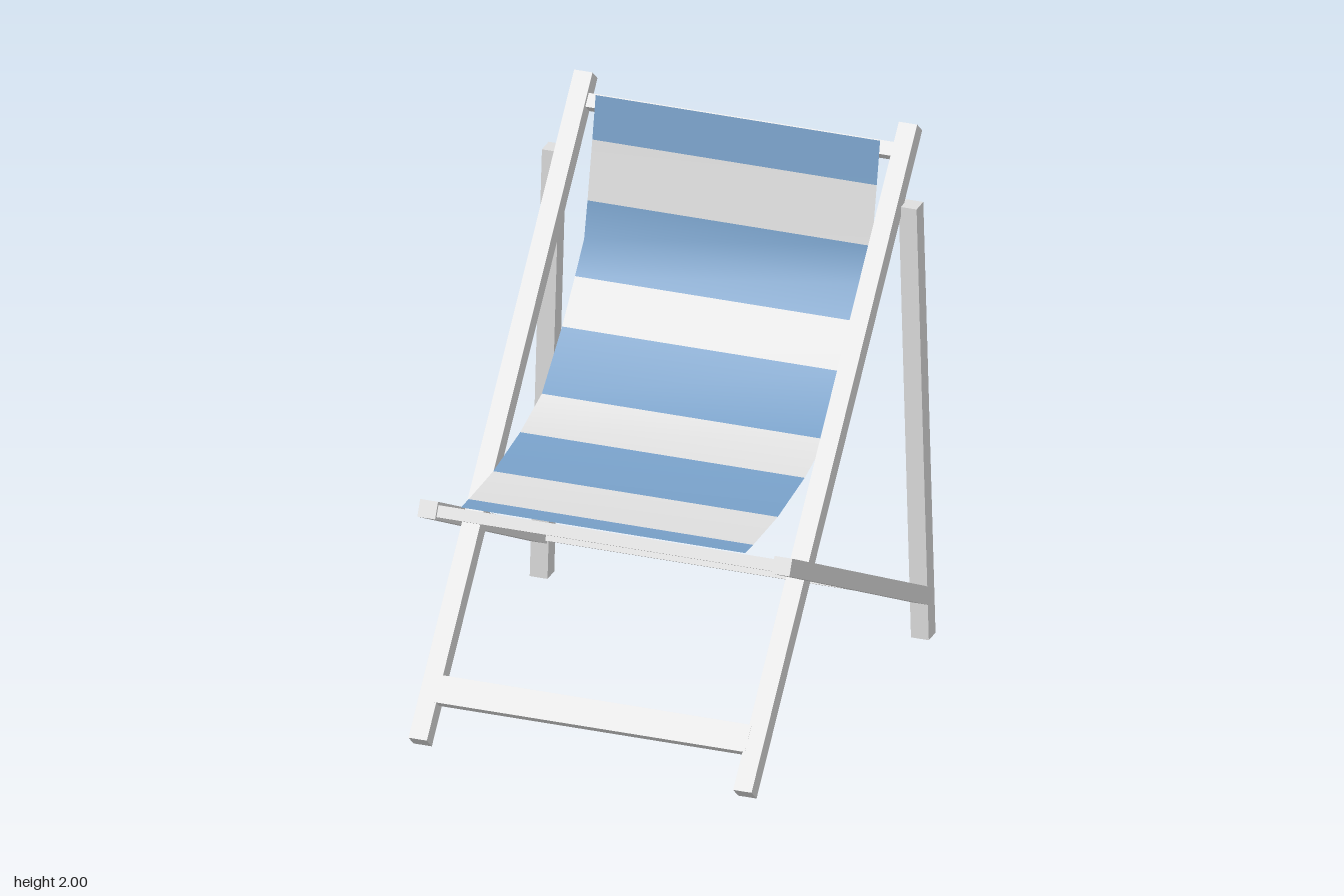
import * as THREE from 'three';

const wood = new THREE.MeshStandardMaterial({ name: 'pale wood', color: 0xdedede });
const white = new THREE.MeshStandardMaterial({ name: 'white cloth', color: 0xdedede, side: THREE.DoubleSide });
const blue = new THREE.MeshStandardMaterial({ name: 'blue cloth', color: 0x779fc7, side: THREE.DoubleSide });

// Square beam between two [x, y, z] points; tilted in the yz plane and sheared in x
function beam(name, a, b, width, depth) {
  const dy = b[1] - a[1], dz = b[2] - a[2], length = Math.hypot(dy, dz);
  const geometry = new THREE.BoxGeometry(width, depth, length);
  const p = geometry.attributes.position;
  for (let i = 0; i < p.count; i++) p.setX(i, p.getX(i) + (b[0] - a[0]) * p.getZ(i) / length);
  geometry.computeVertexNormals();
  const mesh = new THREE.Mesh(geometry, wood);
  mesh.name = name;
  mesh.position.set((a[0] + b[0]) / 2, (a[1] + b[1]) / 2, (a[2] + b[2]) / 2);
  mesh.rotation.x = Math.atan2(-dy, dz);
  return mesh;
}

// Bar running across the chair, tilted to match the beams that carry it
function crossbar(name, length, y, z, thickness, breadth, tilt) {
  const mesh = new THREE.Mesh(new THREE.BoxGeometry(length, thickness, breadth), wood);
  mesh.name = name;
  mesh.position.set(0, y, z);
  mesh.rotation.x = tilt;
  return mesh;
}

// Sagging striped sling; profile rows are [z, y, starts a new stripe]
function sling() {
  const profile = [
    [-0.755, 1.95, 1], [-0.72, 1.785, 1], [-0.67, 1.56, 1], [-0.635, 1.42, 0], [-0.54, 1.31, 1],
    [-0.405, 1.165, 1], [-0.195, 0.985, 1], [0.03, 0.928, 1], [0.31, 0.893, 1],
    [0.565, 0.892, 1], [0.65, 0.896, 0],
  ];
  const half = 0.558, positions = [], index = [];
  const geometry = new THREE.BufferGeometry();
  let stripe = -1;
  profile.forEach(([z, y, starts], i) => {
    positions.push(-half, y, z, half, y, z);
    if (i === profile.length - 1) return;
    if (starts) stripe++;
    const k = i * 2;
    geometry.addGroup(index.length, 6, stripe % 2);
    index.push(k, k + 2, k + 1, k + 1, k + 2, k + 3);
  });
  geometry.setAttribute('position', new THREE.Float32BufferAttribute(positions, 3));
  geometry.setIndex(index);
  geometry.computeVertexNormals();
  const mesh = new THREE.Mesh(geometry, [blue, white]);
  mesh.name = 'striped sling';
  return mesh;
}

export function createModel() {
  const chair = new THREE.Group();
  chair.name = 'deck chair';

  // Mirrored side frames
  for (const s of [1, -1]) {
    const side = s > 0 ? 'left' : 'right';
    chair.add(
      beam(side + ' long rail', [s * 0.637, 1.976, -0.862], [s * 0.637, 0.024, 0.862], 0.072, 0.07),
      beam(side + ' seat arm', [s * 0.75, 0.167, -0.69], [s * 0.695, 0.857, 0.63], 0.07, 0.066),
      beam(side + ' rear leg', [s * 0.7, 1.74, -0.7], [s * 0.748, 0, -0.7], 0.07, 0.07),
    );
  }

  // Crossbars
  const railTilt = Math.atan2(1.952, 1.724), armTilt = -Math.atan2(0.69, 1.32);
  chair.add(
    crossbar('top crossbar', 1.22, 1.895, -0.8, 0.054, 0.054, railTilt),
    crossbar('foot slat', 1.22, 0.185, 0.74, 0.042, 0.106, railTilt),
    crossbar('front crossbar', 1.34, 0.84, 0.6, 0.045, 0.045, armTilt),
    crossbar('rear crossbar', 1.44, 0.178, -0.68, 0.057, 0.057, armTilt),
    sling(),
  );
  return chair;
}
